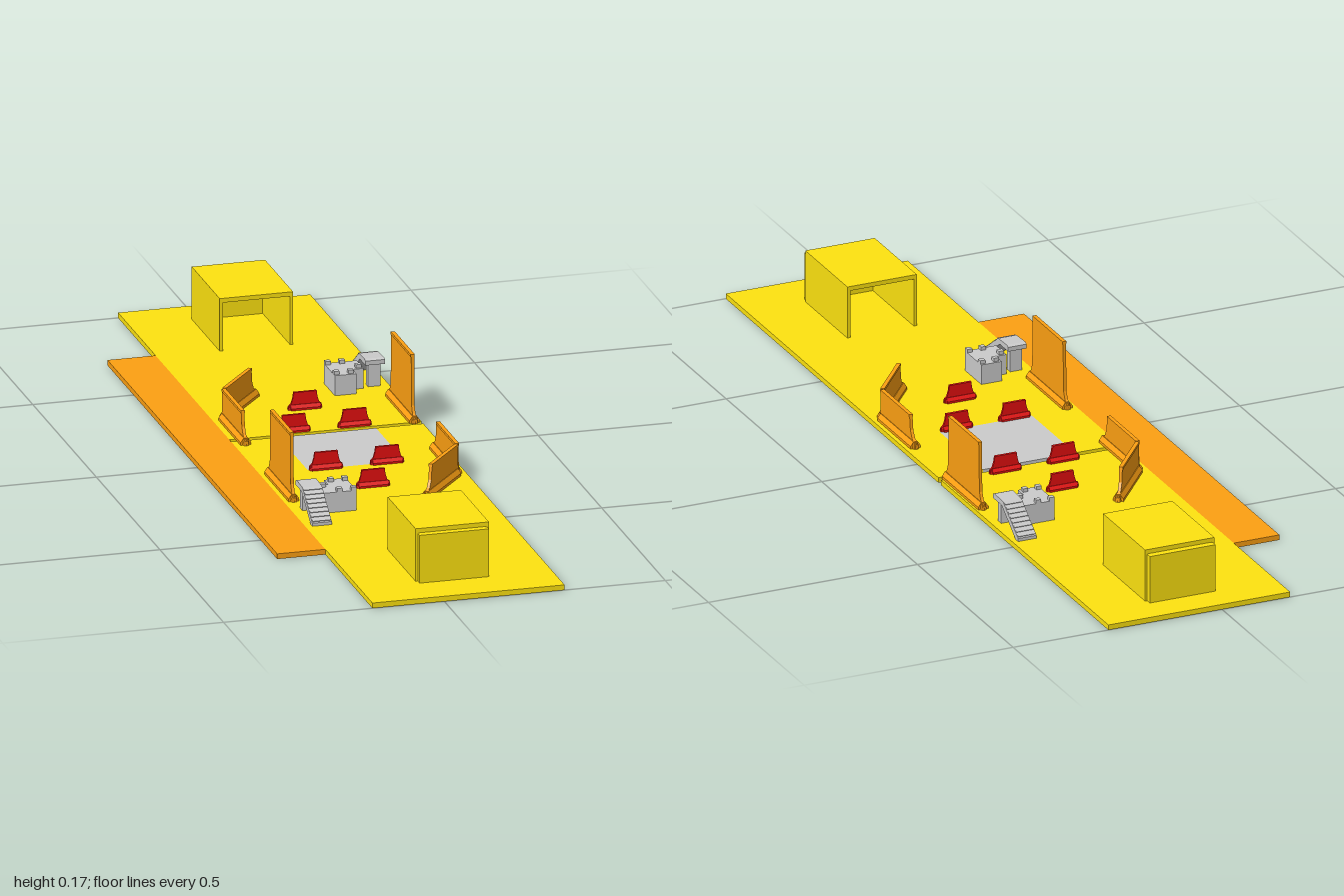
import * as THREE from 'three';

const mat = (color) => new THREE.MeshStandardMaterial({ color, flatShading: true });
const YELLOW = mat(0xfee310), ORANGE = mat(0xfda012), RED = mat(0xe61010), GREY = mat(0xcccccc);
const FLOOR = 0.012;

// Box given by its min and max on each axis
function block(name, m, x0, x1, y0, y1, z0, z1) {
  const mesh = new THREE.Mesh(new THREE.BoxGeometry(x1 - x0, y1 - y0, z1 - z0), m);
  mesh.position.set((x0 + x1) / 2, (y0 + y1) / 2, (z0 + z1) / 2);
  mesh.name = name;
  return mesh;
}

// Outline in x/y extruded along z, centred on z = 0
function slab(name, m, points, depth) {
  const shape = new THREE.Shape(points.map((p) => new THREE.Vector2(p[0], p[1])));
  const geo = new THREE.ExtrudeGeometry(shape, { depth, bevelEnabled: false });
  geo.translate(0, 0, -depth / 2);
  const mesh = new THREE.Mesh(geo, m);
  mesh.name = name;
  return mesh;
}

// Thin wall from ground point a to b, with a flared base, top cap and end feet
function barrier(name, m, a, b, h, flareA, flareB, k = 1) {
  const g = new THREE.Group();
  g.name = name;
  const L = Math.hypot(b[0] - a[0], b[1] - a[1]), r = L / 2;
  g.add(slab('panel', m, [
    [-r, 0], [r, 0], [r, 0.01 * k], [r - flareB * 0.55, 0.02 * k], [r - flareB * 0.85, 0.036 * k],
    [r - flareB, h], [-r + flareA, h], [-r + flareA * 0.85, 0.036 * k],
    [-r + flareA * 0.55, 0.02 * k], [-r, 0.01 * k],
  ], 0.007 * k));
  const foot = slab('foot', m, [
    [-0.012 * k, 0], [0.012 * k, 0], [0.012 * k, 0.006 * k], [0.005 * k, 0.016 * k],
    [-0.005 * k, 0.016 * k], [-0.012 * k, 0.006 * k],
  ], L - 0.012 * k);
  foot.rotation.y = Math.PI / 2;
  g.add(foot);
  g.add(block('cap', m, -r + flareA, r - flareB, h - 0.006 * k, h, -0.0045 * k, 0.0045 * k));
  for (const x of [-r + 0.007 * k, r - 0.007 * k]) {
    const post = new THREE.Mesh(new THREE.CylinderGeometry(0.006 * k, 0.008 * k, 0.014 * k, 8), m);
    post.position.set(x, 0.007 * k, 0);
    post.name = 'endFoot';
    g.add(post);
  }
  g.position.set((a[0] + b[0]) / 2, FLOOR, (a[1] + b[1]) / 2);
  g.rotation.y = Math.atan2(-(b[1] - a[1]), b[0] - a[0]);
  return g;
}

// Shelter open towards the middle of the field (-z), closed at +z
function shelter() {
  const g = new THREE.Group();
  g.name = 'shelter';
  const x0 = -0.033, x1 = 0.133, z0 = 0.668, z1 = 0.888, t = 0.007;
  g.add(block('sideWall', YELLOW, x0, x0 + t, FLOOR, 0.126, z0, z1));
  g.add(block('sideWall', YELLOW, x1 - t, x1, FLOOR, 0.126, z0, z1));
  g.add(block('roof', YELLOW, x0, x1, 0.123, 0.133, z0, z1));
  g.add(block('endWall', YELLOW, x0 + 0.005, x1 - 0.004, FLOOR, 0.122, z1 - 0.006, z1 + 0.014));
  return g;
}

// Grey machine: notched box, bridge and a slatted ramp running down to +z
function machine() {
  const g = new THREE.Group();
  g.name = 'rampMachine';
  g.add(block('housing', GREY, -0.1, -0.026, FLOOR, 0.058, 0.345, 0.4));
  g.add(block('housingBack', GREY, -0.075, -0.026, FLOOR, 0.058, 0.315, 0.346));
  for (const [x, z] of [[-0.096, 0.35], [-0.038, 0.32], [-0.038, 0.388], [-0.07, 0.388], [-0.07, 0.32]])
    g.add(block('cornerPost', GREY, x, x + 0.012, 0.057, 0.066, z, z + 0.012));
  const ramp = slab('ramp', GREY, [
    [0.345, 0.064], [0.39, 0.064], [0.462, 0.012], [0.476, 0.012], [0.476, 0.019],
    [0.398, 0.075], [0.352, 0.077], [0.345, 0.074],
  ], 0.044);
  ramp.rotation.y = -Math.PI / 2;
  ramp.position.x = -0.126;
  g.add(ramp);
  // Raised slats across the slope
  for (let i = 0; i < 8; i++) {
    const t = (i + 0.5) / 8;
    const slat = block('slat', GREY, -0.147, -0.105, -0.002, 0.002, -0.0025, 0.0025);
    slat.position.y = 0.075 - 0.056 * t;
    slat.position.z = 0.398 + 0.078 * t;
    slat.rotation.x = 0.62;
    g.add(slat);
  }
  g.add(block('rampLeg', GREY, -0.14, -0.112, FLOOR, 0.066, 0.352, 0.37));
  return g;
}

// Half turn about the middle of the field
function opposite(part) {
  const g = new THREE.Group();
  g.name = part.name + 'Opposite';
  part.position.x -= 0.056;
  part.position.z += 0.013;
  g.add(part);
  g.position.set(0.056, 0, -0.013);
  g.rotation.y = Math.PI;
  return g;
}

export function createModel() {
  const model = new THREE.Group();
  model.name = 'playingField';

  // Ground plates, split by a narrow gap, with an inset pad
  model.add(block('rearPlate', YELLOW, -0.163, 0.272, 0, FLOOR, -1, -0.125));
  model.add(block('frontPlate', YELLOW, -0.163, 0.272, 0, FLOOR, 0.115, 1));
  model.add(block('rightStrip', YELLOW, -0.163, -0.055, 0, FLOOR, -0.111, 0.115));
  model.add(block('leftStrip', YELLOW, 0.165, 0.272, 0, FLOOR, -0.111, 0.115));
  model.add(block('centrePad', GREY, -0.055, 0.165, 0, FLOOR, -0.111, 0.115));
  model.add(block('sidePlate', ORANGE, -0.272, -0.163, 0, FLOOR, -0.705, 0.63));

  // Parts that occur at both ends
  const lowWall = () => {
    const g = new THREE.Group();
    g.name = 'lowWall';
    g.add(barrier('straightWall', ORANGE, [0.25, 0.05], [0.25, 0.235], 0.071, 0.03, 0.004));
    g.add(barrier('angledWall', ORANGE, [0.25, 0.232], [0.138, 0.37], 0.071, 0.004, 0.03));
    return g;
  };
  for (const make of [shelter, machine, lowWall]) model.add(make(), opposite(make()));

  // Tall walls
  model.add(barrier('tallWall', ORANGE, [-0.141, 0.11], [-0.141, 0.312], 0.153, 0.022, 0.022));
  model.add(barrier('tallWall', ORANGE, [0.255, -0.315], [0.255, -0.113], 0.153, 0.022, 0.022));

  // Small red barricades
  for (const [x, z] of [[-0.014, -0.138], [0.124, -0.138], [0.052, -0.278],
    [-0.014, 0.117], [0.124, 0.117], [0.052, 0.257]])
    model.add(barrier('barricade', RED, [x - 0.038, z], [x + 0.038, z], 0.04, 0.012, 0.012, 0.75));

  return model;
}
